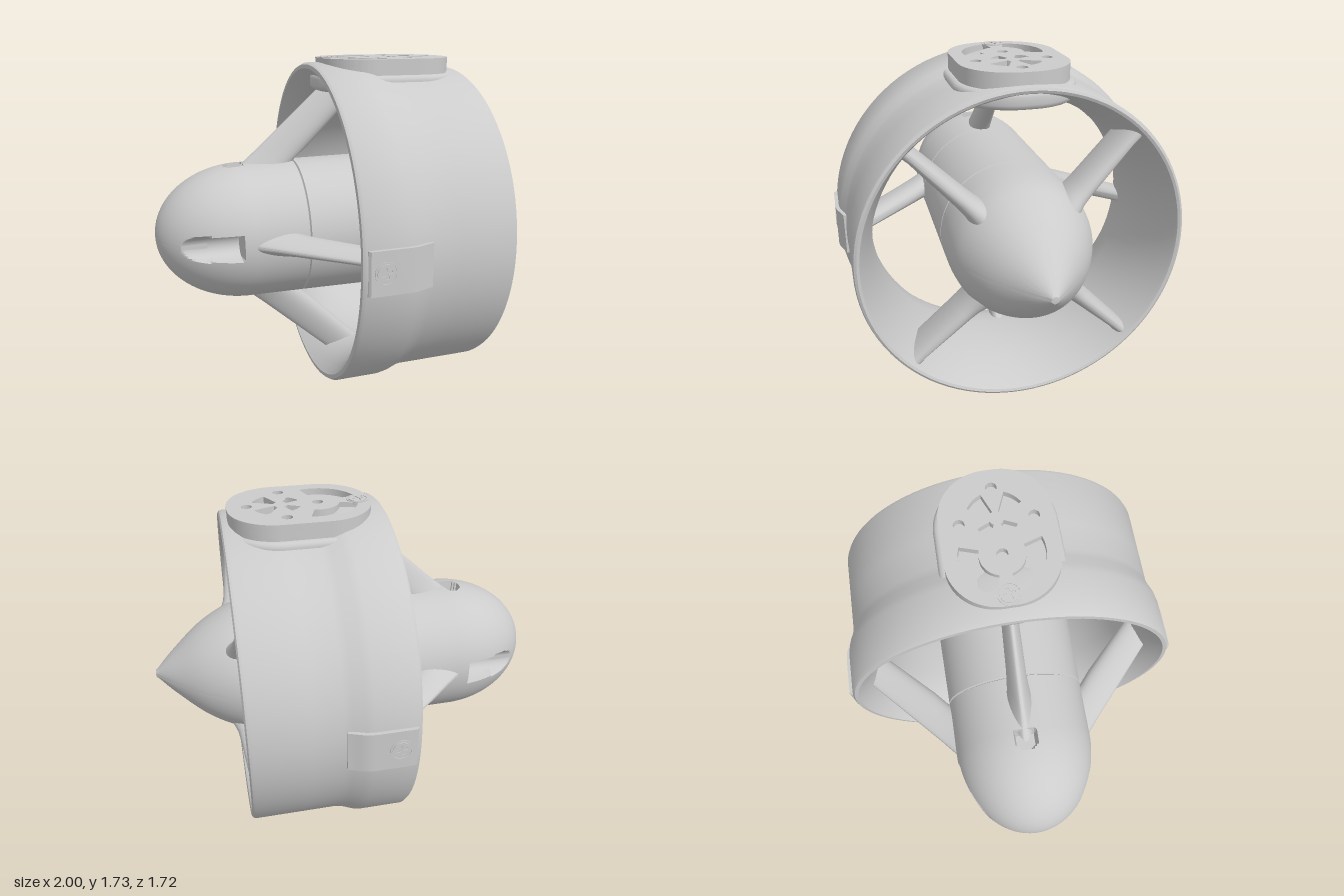
import * as THREE from 'three';
import { toCreasedNormals } from 'three/addons/utils/BufferGeometryUtils.js';

const AXIS_Y = 0.86;
const material = new THREE.MeshStandardMaterial({ color: 0xcccccc });

function mesh(name, geometry, crease = 0.6) {
  const m = new THREE.Mesh(toCreasedNormals(geometry, crease), material);
  m.name = name;
  return m;
}

// Revolve [x, radius] points about the x axis
function revolve(points, segments) {
  const profile = points.map(([x, r]) => new THREE.Vector2(r, x));
  return new THREE.LatheGeometry(profile, segments).rotateZ(-Math.PI / 2);
}

// Duct with a bell-shaped inside and a stepped outside
function duct() {
  return mesh('duct', revolve([
    [-0.192, 0.815], [-0.19, 0.835], [-0.175, 0.845], [0.03, 0.845], [0.07, 0.838], [0.12, 0.82],
    [0.16, 0.812], [0.3, 0.812], [0.57, 0.812], [0.585, 0.807], [0.592, 0.795], [0.587, 0.782],
    [0.57, 0.773], [0.5, 0.748], [0.4, 0.715], [0.25, 0.695], [0.1, 0.69], [0, 0.7],
    [-0.08, 0.73], [-0.14, 0.768], [-0.18, 0.805], [-0.192, 0.815],
  ], 96));
}

// Torpedo hub: elliptical nose, joint grooves, ogive tail; pockets are pressed in
function hub() {
  const p = [];
  for (let i = 0; i <= 8; i++) {
    const a = (i / 8) * 0.5;
    p.push([-0.55 - 0.45 * Math.cos(a), 0.35 * Math.sin(a)]);
  }
  for (let x = -0.935; x < -0.53; x += 0.01) {
    p.push([x, 0.35 * Math.sqrt(1 - Math.min(0, (x + 0.55) / 0.45) ** 2)]);
  }
  p.push([-0.285, 0.352], [-0.28, 0.342], [-0.275, 0.352], [0, 0.355], [0.27, 0.358], [0.275, 0.348], [0.28, 0.358]);
  const tail = new THREE.SplineCurve([[0.29, 0.358], [0.45, 0.356], [0.59, 0.33], [0.75, 0.245], [0.9, 0.115], [0.985, 0.028]]
    .map(([x, r]) => new THREE.Vector2(x, r)));
  tail.getPoints(24).forEach((v) => p.push([v.x, v.y]));
  p.push([0.997, 0.018], [1, 0]);

  const geometry = revolve(p, 192);
  const pos = geometry.attributes.position;
  for (let i = 0; i < pos.count; i++) {
    const x = pos.getX(i), y = pos.getY(i), z = pos.getZ(i);
    // Scooped screw channels on both sides
    if (x < -0.615 && Math.abs(y) < 0.06) {
      const floor = 0.285 - Math.sqrt(0.0036 - y * y);
      if (Math.abs(z) > floor) pos.setZ(i, Math.sign(z) * floor);
    }
    // D-shaped opening on top
    const inside = Math.hypot(x + 0.585, z) < 0.056 || (x > -0.585 && Math.abs(z) < 0.056);
    if (y > 0.25 && x < -0.55 && inside) pos.setY(i, 0.25);
  }
  return mesh('hub', geometry, 0.5);
}

// Streamlined strut lofted along +y; rows are [radius, xStart, xEnd, thickness]
function strut(name, rows, angle) {
  const n = 28, verts = [], index = [];
  for (const [r, xa, xb, t] of rows) {
    for (let i = 0; i < n; i++) {
      const a = (i / n) * Math.PI * 2, c = Math.cos(a);
      verts.push(THREE.MathUtils.lerp(xa, xb, (1 - c) / 2), r, (t / 2) * Math.sin(a) * (1 - 0.35 * c) / 1.06);
    }
  }
  for (let j = 0; j < rows.length - 1; j++) {
    for (let i = 0; i < n; i++) {
      const a = j * n + i, b = j * n + (i + 1) % n;
      index.push(a, b, a + n, b, b + n, a + n);
    }
  }
  const g = new THREE.BufferGeometry();
  g.setAttribute('position', new THREE.Float32BufferAttribute(verts, 3));
  g.setIndex(index);
  const m = mesh(name, g, 0.9);
  m.rotation.x = angle;
  return m;
}

const circle = (x, y, r) => new THREE.Path().absarc(x, y, r, 0, Math.PI * 2);

function sector(cx, cy, r0, r1, a0, a1) {
  const p = new THREE.Path();
  p.absarc(cx, cy, r1, a0, a1, false);
  p.absarc(cx, cy, r0, a1, a0, true);
  p.closePath();
  return p;
}

function extrudeUp(shape, y, depth, bevel = 0) {
  return new THREE.ExtrudeGeometry(shape, {
    depth: depth - bevel, curveSegments: 20, bevelEnabled: bevel > 0,
    bevelSize: bevel, bevelThickness: bevel, bevelOffset: -bevel, bevelSegments: 3,
  }).rotateX(-Math.PI / 2).translate(0, y, 0);
}

// Round screw head with a cross-shaped socket
function screw(x, height) {
  const head = new THREE.Shape().absarc(0, 0, 0.042, 0, Math.PI * 2);
  const cross = new THREE.Path();
  for (let i = 0; i < 4; i++) {
    for (const [r, a] of [[0.029, -0.25], [0.029, 0.25], [0.01, Math.PI / 4]]) {
      const t = i * Math.PI / 2 + a + 0.3;
      const px = r * Math.cos(t), py = r * Math.sin(t);
      if (i === 0 && a === -0.25) cross.moveTo(px, py);
      else cross.lineTo(px, py);
    }
  }
  cross.closePath();
  head.holes.push(cross);
  const g = new THREE.Group();
  g.name = 'screw';
  const collar = new THREE.Shape().absarc(0, 0, 0.054, 0, Math.PI * 2);
  collar.holes.push(circle(0, 0, 0.048));
  g.add(mesh('screwHead', extrudeUp(head, -0.012, 0.016)), mesh('screwCollar', extrudeUp(collar, -0.012, 0.015)));
  g.position.set(x, height, 0);
  return g;
}

// Rounded pad with a screw, sitting on the duct
function pad(angle) {
  const s = new THREE.Shape();
  s.moveTo(-0.17, 0.8);
  s.lineTo(0.15, 0.8);
  s.lineTo(0.15, 0.822);
  s.bezierCurveTo(0.1, 0.835, 0.08, 0.856, 0.02, 0.856);
  s.lineTo(-0.16, 0.856);
  s.lineTo(-0.17, 0.846);
  const g = new THREE.Group();
  g.name = 'sidePad';
  const geometry = new THREE.ExtrudeGeometry(s, { depth: 0.21, bevelEnabled: false }).translate(0, 0, -0.105);
  g.add(mesh('padBody', geometry), screw(-0.09, 0.856));
  g.rotation.x = angle;
  return g;
}

// Rounded rectangle centred on the mount
function roundedPlate(grow) {
  const x0 = -0.13 - grow, x1 = 0.555 + grow, h = 0.26 + grow, r = 0.235 + grow;
  const s = new THREE.Shape();
  s.absarc(x1 - r, h - r, r, 0, Math.PI / 2);
  s.absarc(x0 + r, h - r, r, Math.PI / 2, Math.PI);
  s.absarc(x0 + r, r - h, r, Math.PI, Math.PI * 1.5);
  s.absarc(x1 - r, r - h, r, Math.PI * 1.5, Math.PI * 2);
  s.closePath();
  return s;
}

// Mounting plate with recessed pockets on top of the duct
function topMount() {
  const g = new THREE.Group();
  g.name = 'topMount';
  const plate = roundedPlate(0);
  const d = Math.PI / 180;
  plate.holes.push(circle(0.12, 0, 0.026), circle(0.46, 0, 0.026));
  for (const s of [1, -1]) {
    plate.holes.push(circle(0.29, s * 0.17, 0.026));
    const span = (a, b) => (s > 0 ? [a * d, b * d] : [-b * d, -a * d]);
    plate.holes.push(
      sector(0.12, 0, 0.105, 0.195, ...span(72, 165)),
      sector(0.3, 0, 0.035, 0.14, ...span(22, 62)),
      sector(0.3, 0, 0.035, 0.1, ...span(115, 155)),
    );
  }
  g.add(
    mesh('mountSkirt', extrudeUp(roundedPlate(0.03), 0.73, 0.06, 0.025)),
    mesh('mountBase', extrudeUp(roundedPlate(0), 0.74, 0.095)),
    mesh('mountPlate', extrudeUp(plate, 0.835, 0.033)),
    screw(-0.075, 0.868),
  );
  return g;
}

export function createModel() {
  const model = new THREE.Group();
  model.name = 'ductedThruster';
  model.add(duct(), hub(), topMount());
  const rearRows = [[0.31, -0.6, -0.3, 0.13], [0.36, -0.535, -0.27, 0.11], [0.42, -0.465, -0.2, 0.095], [0.76, -0.09, 0.14, 0.07]];
  const frontRows = [[0.29, 0.33, 0.64, 0.13], [0.36, 0.36, 0.61, 0.1], [0.42, 0.36, 0.6, 0.09], [0.72, 0.33, 0.565, 0.065], [0.785, 0.32, 0.565, 0.075]];
  for (let i = 0; i < 4; i++) {
    const a = i * Math.PI / 2;
    model.add(strut('rearStrut', rearRows, a), strut('frontStrut', frontRows, a + Math.PI / 4));
    if (i > 0) model.add(pad(a));
  }
  model.children.forEach((c) => { c.position.y = AXIS_Y; });
  return model;
}
